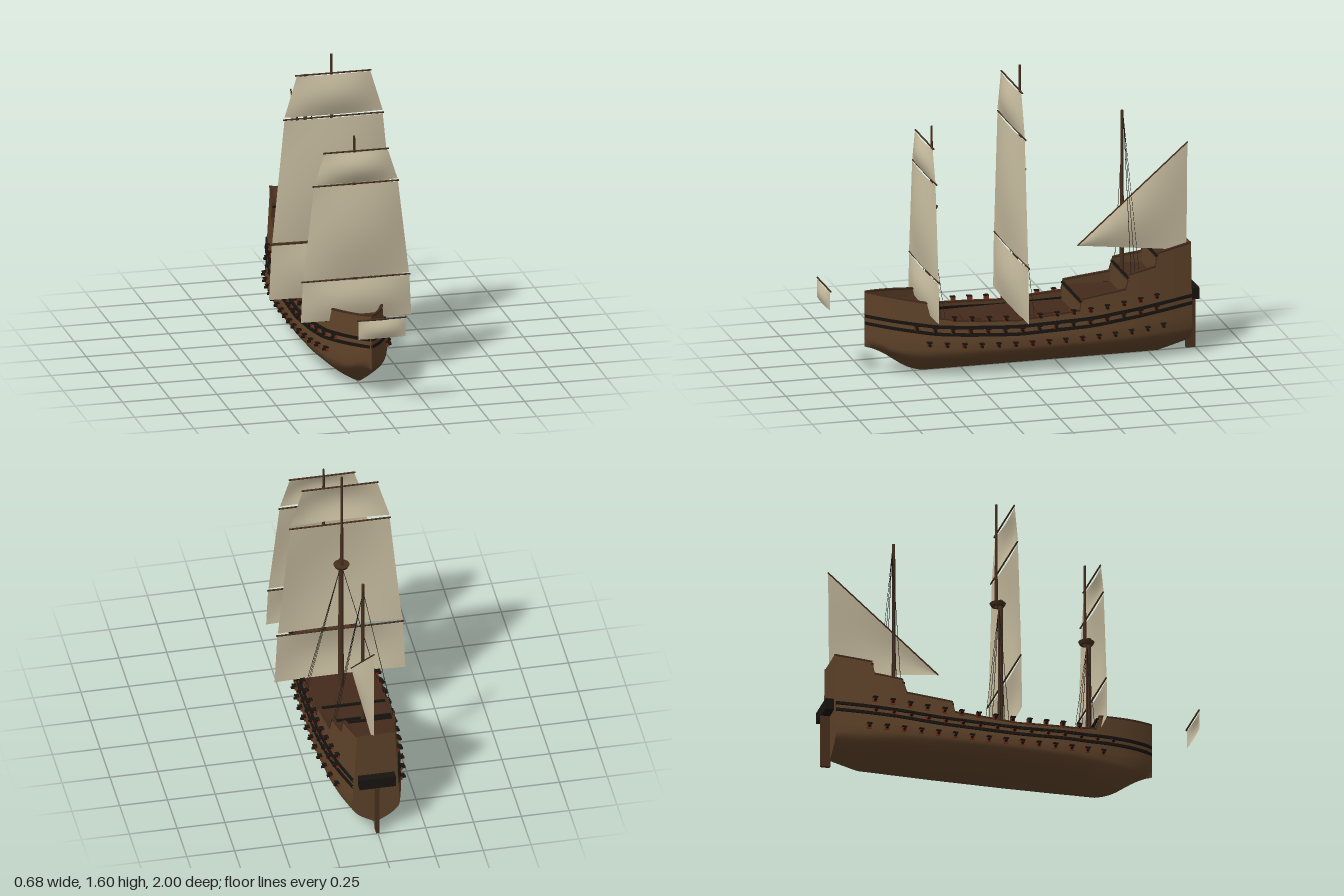
import * as THREE from 'three';
import { toCreasedNormals } from 'three/addons/utils/BufferGeometryUtils.js';

const mat = (name, color, side = THREE.DoubleSide) => {
  const m = new THREE.MeshStandardMaterial({ color, side });
  m.name = name;
  return m;
};

// piecewise linear table lookup, keys falling from bow to stern
function lin(table, z) {
  if (z >= table[0][0]) return table[0][1];
  for (let i = 1; i < table.length; i++) {
    const [z0, v0] = table[i - 1], [z1, v1] = table[i];
    if (z >= z1) return v0 + (v1 - v0) * (z0 - z) / (z0 - z1);
  }
  return table[table.length - 1][1];
}
// smoothed lookup
const smooth = (t, z) => (lin(t, z + 0.04) + 2 * lin(t, z) + lin(t, z - 0.04)) / 4;

const BOW = 0.76, STERN = -0.95;
const keelTable = [[0.76, 0.155], [0.71, 0.14], [0.65, 0.105], [0.55, 0.035], [0.47, 0.005], [-0.8, 0.005], [-0.95, 0.047]];
const beamTable = [[0.76, 0.002], [0.7, 0.05], [0.6, 0.108], [0.45, 0.165], [0.25, 0.2], [0, 0.213], [-0.4, 0.21], [-0.65, 0.19], [-0.8, 0.163], [-0.95, 0.125]];
const sheerBeam = [[0.76, 0.002], [0.7, 0.044], [0.6, 0.095], [0.45, 0.147], [0.25, 0.178], [0, 0.19], [-0.4, 0.186], [-0.65, 0.17], [-0.8, 0.145], [-0.95, 0.113]];
const topTable = [[0.76, 0.45], [0.44, 0.4], [0.425, 0.325], [0.3, 0.305], [0, 0.288], [-0.335, 0.312], [-0.345, 0.37],
  [-0.585, 0.4], [-0.605, 0.475], [-0.75, 0.5], [-0.76, 0.568], [-0.95, 0.6]];
const waleTable = [[0.76, 0.322], [0.4, 0.277], [0, 0.257], [-0.4, 0.267], [-0.95, 0.322]];

const keelY = z => lin(keelTable, z);
const topY = z => lin(topTable, z);
const waleY = z => smooth(waleTable, z);
const chineY = z => Math.max(0.155, keelY(z) + 0.06);
const sheerY = z => Math.min(waleY(z) + 0.03, topY(z) - 0.003);
const beamAt = (t, z) => (z > 0.7 || z < -0.9 ? lin(t, z) : smooth(t, z));

// half width of the hull at a given height and station
function halfWidth(y, z) {
  const B = beamAt(beamTable, z), T = beamAt(sheerBeam, z);
  const k = keelY(z), c = chineY(z), s = sheerY(z);
  if (y <= c) return B * Math.pow(Math.sin(Math.PI / 2 * Math.max(0, (y - k) / (c - k))), 0.9);
  if (y <= s) return B + (T - B) * (y - c) / (s - c);
  return T * (1 - 0.5 * (y - s));
}

const stations = [...new Set([...Array.from({ length: 46 }, (_, i) => +(BOW + (STERN - BOW) * i / 45).toFixed(4)),
  ...topTable.map(p => p[0])])].sort((a, b) => b - a);

// skin over a list of cross-sections
function loft(rings, closed = false) {
  const n = rings[0].length, pos = rings.flat(2), idx = [];
  for (let i = 0; i + 1 < rings.length; i++) {
    for (let j = 0; j < (closed ? n : n - 1); j++) {
      const a = i * n + j, b = i * n + (j + 1) % n;
      idx.push(a, b, a + n, b, b + n, a + n);
    }
  }
  const g = new THREE.BufferGeometry();
  g.setAttribute('position', new THREE.Float32BufferAttribute(pos, 3));
  g.setIndex(idx);
  g.computeVertexNormals();
  return g;
}

function sectionHeights(z) {
  const k = keelY(z), c = chineY(z), s = sheerY(z), ys = [];
  for (let i = 0; i <= 8; i++) ys.push(k + (c - k) * Math.pow(i / 8, 1.4));
  for (let i = 1; i <= 3; i++) ys.push(c + (s - c) * i / 3);
  ys.push(topY(z));
  return ys;
}

export function createModel() {
  const ship = new THREE.Group();
  ship.name = 'sailingShip';
  const hullMat = mat('hullBrown', 0x5e4229);
  const deckMat = mat('deckBrown', 0x432b1c);
  const blackMat = mat('tarBlack', 0x17130f);
  const sparMat = mat('sparBrown', 0x47301f, THREE.FrontSide);
  const sailMat = mat('sailCanvas', 0xc9bea1);
  const redMat = mat('portRed', 0x7a2d16, THREE.FrontSide);
  const ropeMat = mat('ropeDark', 0x1e1a17, THREE.FrontSide);

  const add = (name, geo, material, parent = ship) => {
    const m = new THREE.Mesh(geo, material);
    m.name = name;
    parent.add(m);
    return m;
  };
  const group = name => {
    const g = new THREE.Group();
    g.name = name;
    ship.add(g);
    return g;
  };
  const rod = (name, a, b, r0, r1, material, parent, sides = 8) => {
    const p = new THREE.Vector3(...a), q = new THREE.Vector3(...b), d = q.clone().sub(p);
    const m = add(name, new THREE.CylinderGeometry(r1, r0, d.length(), sides), material, parent);
    m.position.copy(p).add(q).multiplyScalar(0.5);
    m.quaternion.setFromUnitVectors(new THREE.Vector3(0, 1, 0), d.normalize());
    return m;
  };

  // hull skin, port top round the keel to starboard top
  const hullRings = stations.map(z => {
    const side = sectionHeights(z).map(y => [halfWidth(y, z), y, z]);
    return [...side.slice(1).reverse(), ...side.map(([x, y]) => [-x, y, z])];
  });
  add('hull', toCreasedNormals(loft(hullRings), 0.45), hullMat);
  add('transom', loft(sectionHeights(STERN).map(y => {
    const w = halfWidth(y, STERN);
    return [[w, y, STERN], [-w, y, STERN]];
  })), hullMat);

  // wales and cap rails, both sides
  for (const s of [1, -1]) {
    for (const drop of [0, 0.038]) {
      add('wale', toCreasedNormals(loft(stations.map(z => {
        const y = waleY(z) - drop, out = z > 0.75 ? 0.004 : 0.008;
        const lo = halfWidth(y - 0.008, z), hi = halfWidth(y + 0.008, z);
        return [[s * (lo - 0.002), y - 0.008, z], [s * (lo + out), y - 0.008, z],
          [s * (hi + out), y + 0.008, z], [s * (hi - 0.002), y + 0.008, z]];
      }), true), 0.5), blackMat);
    }
    add('capRail', toCreasedNormals(loft(stations.map(z => {
      const y = topY(z), w = halfWidth(y, z), inner = Math.max(0, w - 0.013);
      return [[s * inner, y - 0.004, z], [s * (w + 0.004), y - 0.004, z], [s * (w + 0.004), y + 0.004, z], [s * inner, y + 0.004, z]];
    }), true), 0.5), deckMat);
  }

  // stepped decks with the bulkheads between them
  const decks = [[0.755, 0.432, 0.365], [0.432, -0.34, 0.262], [-0.34, -0.595, 0.34], [-0.595, -0.755, 0.44], [-0.755, -0.95, 0.54]];
  const across = (y, z) => {
    const w = halfWidth(y, z) - 0.001;
    return [[w, y, z], [-w, y, z]];
  };
  decks.forEach(([z0, z1, y], i) => {
    add('deck', loft(Array.from({ length: 17 }, (_, k) => across(y, z0 + (z1 - z0) * k / 16))), deckMat);
    if (i) add('bulkhead', loft([across(decks[i - 1][2], z0), across(y, z0)]), hullMat);
  });
  // deck beams and hatch gratings
  for (const [z, y] of [[0.434, 0.385], [-0.343, 0.355], [-0.6, 0.455], [-0.758, 0.555]]) {
    add('breastRail', new THREE.BoxGeometry(2 * halfWidth(y, z), 0.01, 0.012), blackMat).position.set(0, y, z);
  }
  for (const z of [0.2, -0.2]) {
    add('hatch', new THREE.BoxGeometry(0.11, 0.012, 0.09), deckMat).position.set(0, 0.268, z);
  }

  // three gun rows along each side
  const guns = group('guns');
  const addGun = (y, z, s) => {
    const x = s * halfWidth(y, z);
    add('gunPort', new THREE.BoxGeometry(0.016, 0.024, 0.024), redMat, guns).position.set(x, y, z);
    add('portLid', new THREE.BoxGeometry(0.026, 0.005, 0.026), blackMat, guns).position.set(x + s * 0.008, y + 0.013, z);
    rod('gunBarrel', [x, y, z], [x + s * 0.026, y, z], 0.009, 0.007, blackMat, guns);
  };
  for (const s of [1, -1]) {
    for (let i = 0; i < 15; i++) addGun(0.165 + 0.00045 * (i - 7) ** 2, 0.46 - 0.0888 * i, s);
    for (let i = 0; i < 15; i++) addGun(waleY(0.52 - 0.0905 * i) - 0.019, 0.52 - 0.0905 * i, s);
    for (let i = 0; i < 13; i++) addGun(waleY(0.33 - 0.09 * i) + 0.042, 0.33 - 0.09 * i, s);
  }

  // stern gallery and rudder
  add('sternGallery', new THREE.BoxGeometry(0.19, 0.06, 0.045), blackMat).position.set(0, 0.322, -0.974);
  add('rudder', new THREE.BoxGeometry(0.018, 0.285, 0.05), sparMat).position.set(0, 0.15, -0.974);

  // masts with fighting tops and shrouds
  const shrouds = (z, yTop, parent) => {
    for (const s of [1, -1]) for (let i = 0; i < 3; i++) {
      const zb = z - 0.005 - 0.022 * i, yb = topY(zb);
      rod('shroud', [0, yTop, z - 0.008], [s * (halfWidth(yb, zb) - 0.004), yb, zb], 0.0014, 0.0014, ropeMat, parent, 4);
    }
  };
  const mast = (name, z, foot, lowerTop, platform, zUpper, top) => {
    const g = group(name);
    rod('lowerMast', [0, foot, z], [0, lowerTop, z], 0.016, 0.012, sparMat, g, 12);
    rod('topMast', [0, platform - 0.02, zUpper], [0, top, zUpper], 0.009, 0.006, sparMat, g, 10);
    add('fightingTop', new THREE.CylinderGeometry(0.042, 0.034, 0.016, 16), sparMat, g).position.set(0, platform, zUpper + 0.008);
    shrouds(z, platform, g);
  };
  mast('mainMast', -0.043, 0.26, 1.06, 1.033, -0.066, 1.6);
  mast('foreMast', 0.424, 0.262, 0.9, 0.872, 0.404, 1.31);
  const mizzen = group('mizzenMast');
  rod('lowerMast', [0, 0.43, -0.61], [0, 1.31, -0.61], 0.011, 0.008, sparMat, mizzen, 10);
  shrouds(-0.61, 1.27, mizzen);

  // bellied square sails hung from yards
  const squareSail = (name, yTop, yBottom, wTop, wBottom, z, belly) => {
    const g = group(name), N = 12, rows = [];
    for (let i = 0; i <= N; i++) {
      const t = i / N, w = wTop + (wBottom - wTop) * t, row = [];
      for (let j = 0; j <= N; j++) {
        const u = j / N * 2 - 1;
        row.push([u * w, yTop + (yBottom - yTop) * t, z + belly * (1 - u * u) * (0.25 + 0.75 * Math.sin(Math.PI * t))]);
      }
      rows.push(row);
    }
    add('sail', loft(rows), sailMat, g);
    rod('yard', [-wTop - 0.006, yTop + 0.004, z - 0.004], [wTop + 0.006, yTop + 0.004, z - 0.004], 0.0045, 0.0045, sparMat, g);
  };
  squareSail('mainTopgallant', 1.506, 1.29, 0.195, 0.26, -0.02, 0.033);
  squareSail('mainTopsail', 1.272, 0.617, 0.26, 0.325, -0.02, 0.033);
  squareSail('mainCourse', 0.602, 0.31, 0.328, 0.342, -0.02, 0.03);
  squareSail('foreTopgallant', 1.236, 1.075, 0.168, 0.22, 0.445, 0.033);
  squareSail('foreTopsail', 1.06, 0.562, 0.222, 0.28, 0.445, 0.033);
  squareSail('foreCourse', 0.548, 0.335, 0.282, 0.292, 0.445, 0.03);
  squareSail('spritSail', 0.502, 0.405, 0.123, 0.125, 0.98, 0.019);

  // lateen sail on its slanting yard
  const lateen = group('lateenSail');
  const tack = [0, 0.605, -0.37], peak = [0, 1.112, -0.955], clew = [0, 0.535, -0.95];
  const mix = (a, b, t) => a.map((v, i) => v + (b[i] - v) * t);
  const rows = [];
  for (let i = 0; i <= 10; i++) {
    const t = i / 10, a = mix(tack, peak, t), b = mix(tack, clew, t);
    rows.push(Array.from({ length: 11 }, (_, j) => {
      const p = mix(a, b, j / 10);
      return [0.012 + 0.02 * Math.sin(Math.PI * t) * Math.sin(Math.PI * j / 10), p[1], p[2]];
    }));
  }
  add('sail', loft(rows), sailMat, lateen);
  rod('yard', [0.012, 0.605, -0.37], [0.012, 1.115, -0.957], 0.004, 0.004, sparMat, lateen);

  return ship;
}
